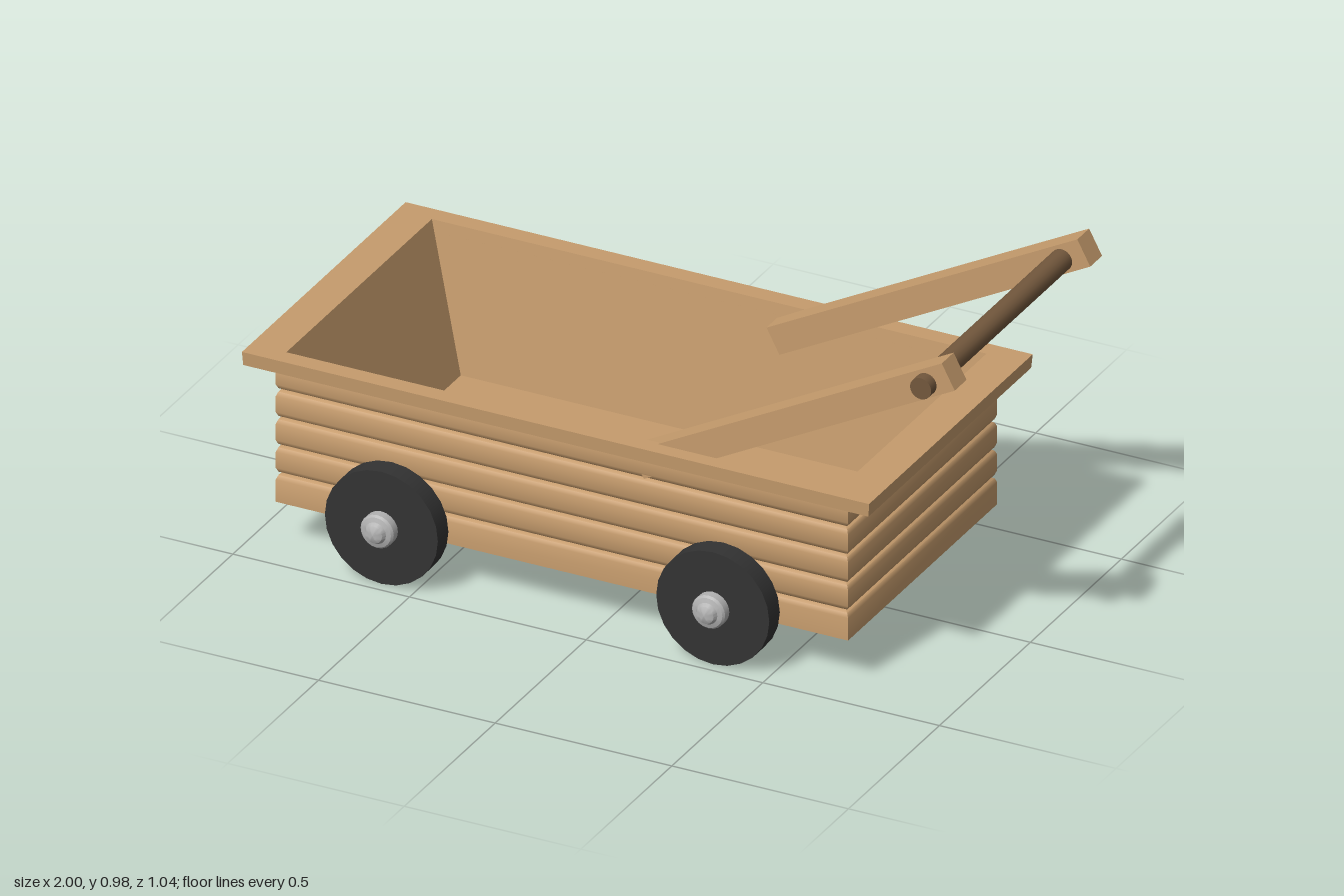
import * as THREE from 'three';
import { toCreasedNormals } from 'three/addons/utils/BufferGeometryUtils.js';

const material = (color) => new THREE.MeshStandardMaterial({ color });

// Skin a series of rectangular rings [x0, x1, halfDepth, y], with optional end caps
function rectLoft(rings, capStart, capEnd) {
  const pos = [];
  const index = [];
  for (const [x0, x1, z, y] of rings) pos.push(x0, y, z, x1, y, z, x1, y, -z, x0, y, -z);
  for (let i = 0; i < rings.length - 1; i++) {
    for (let j = 0; j < 4; j++) {
      const a = i * 4 + j, b = i * 4 + (j + 1) % 4;
      index.push(a, b, b + 4, a, b + 4, a + 4);
    }
  }
  if (capStart) index.push(0, 2, 1, 0, 3, 2);
  const n = (rings.length - 1) * 4;
  if (capEnd) index.push(n, n + 1, n + 2, n, n + 2, n + 3);
  const g = new THREE.BufferGeometry();
  g.setAttribute('position', new THREE.Float32BufferAttribute(pos, 3));
  g.setIndex(index);
  return toCreasedNormals(g, 0.8);
}

export function createModel() {
  const model = new THREE.Group();
  model.name = 'handCart';
  const wood = material(0xc69c6d);
  const darkWood = material(0x73583d);
  const rubber = material(0x333333);
  const metal = material(0xb3b3b3);

  const add = (parent, name, geometry, mat) => {
    const mesh = new THREE.Mesh(geometry, mat);
    mesh.name = name;
    parent.add(mesh);
    return mesh;
  };

  // Stacked planks with softly rounded edges; the lowest one closes the base
  const levels = [0.125, 0.205, 0.284, 0.364, 0.443, 0.522];
  const ring = (inset, y) => [-0.925 + inset, 0.695 - inset, 0.41 - inset, y];
  for (let i = 0; i < 5; i++) {
    const y0 = levels[i], y1 = levels[i + 1];
    const rings = [];
    if (i === 0) rings.push(ring(0, y0));
    else rings.push(ring(0.015, y0), ring(0.005, y0 + 0.005), ring(0, y0 + 0.017));
    rings.push(ring(0, y1 - 0.017), ring(0.005, y1 - 0.005), ring(0.015, y1));
    add(model, `plank${i + 1}`, rectLoft(rings, i === 0, false), wood);
  }

  // Overhanging rim, continuing into the sloped inner walls and floor
  add(model, 'rimAndTub', rectLoft([
    [-0.88, 0.65, 0.37, 0.515],
    [-0.998, 0.772, 0.447, 0.515],
    [-1, 0.775, 0.45, 0.553],
    [-0.9, 0.67, 0.4, 0.553],
    [-0.79, 0.56, 0.345, 0.16],
  ], false, true), wood);

  // Sloping handle arms and the cross bar
  const handle = new THREE.Group();
  handle.name = 'handle';
  model.add(handle);
  for (const [name, z] of [['rightArm', 0.376], ['leftArm', -0.369]]) {
    const arm = add(handle, name, new THREE.BoxGeometry(0.996, 0.078, 0.065), wood);
    arm.position.set(0.538, 0.712, z);
    arm.rotation.z = Math.atan2(0.467, 0.88);
  }
  const bar = add(handle, 'crossBar', new THREE.CylinderGeometry(0.03, 0.03, 0.873, 20), darkWood);
  bar.rotation.x = Math.PI / 2;
  bar.position.set(0.915, 0.911, 0.002);

  // Four wheels with stepped metal hubs
  const wheelGeometry = new THREE.CylinderGeometry(0.16, 0.16, 0.058, 24);
  const hubProfile = [[0.047, -0.03], [0.047, 0.052], [0.042, 0.058], [0.03, 0.062],
    [0.024, 0.072], [0.012, 0.078], [0, 0.079]].map(([r, y]) => new THREE.Vector2(r, y));
  const hubGeometry = toCreasedNormals(new THREE.LatheGeometry(hubProfile, 20), 0.5);
  for (const [end, x] of [['rear', -0.595], ['front', 0.343]]) {
    for (const side of [1, -1]) {
      const wheel = new THREE.Group();
      wheel.name = `${end}Wheel${side > 0 ? 'A' : 'B'}`;
      add(wheel, 'tire', wheelGeometry, rubber);
      add(wheel, 'hub', hubGeometry, metal);
      wheel.position.set(x, 0.16, side * 0.441);
      wheel.rotation.x = side * Math.PI / 2;
      model.add(wheel);
    }
  }
  return model;
}
